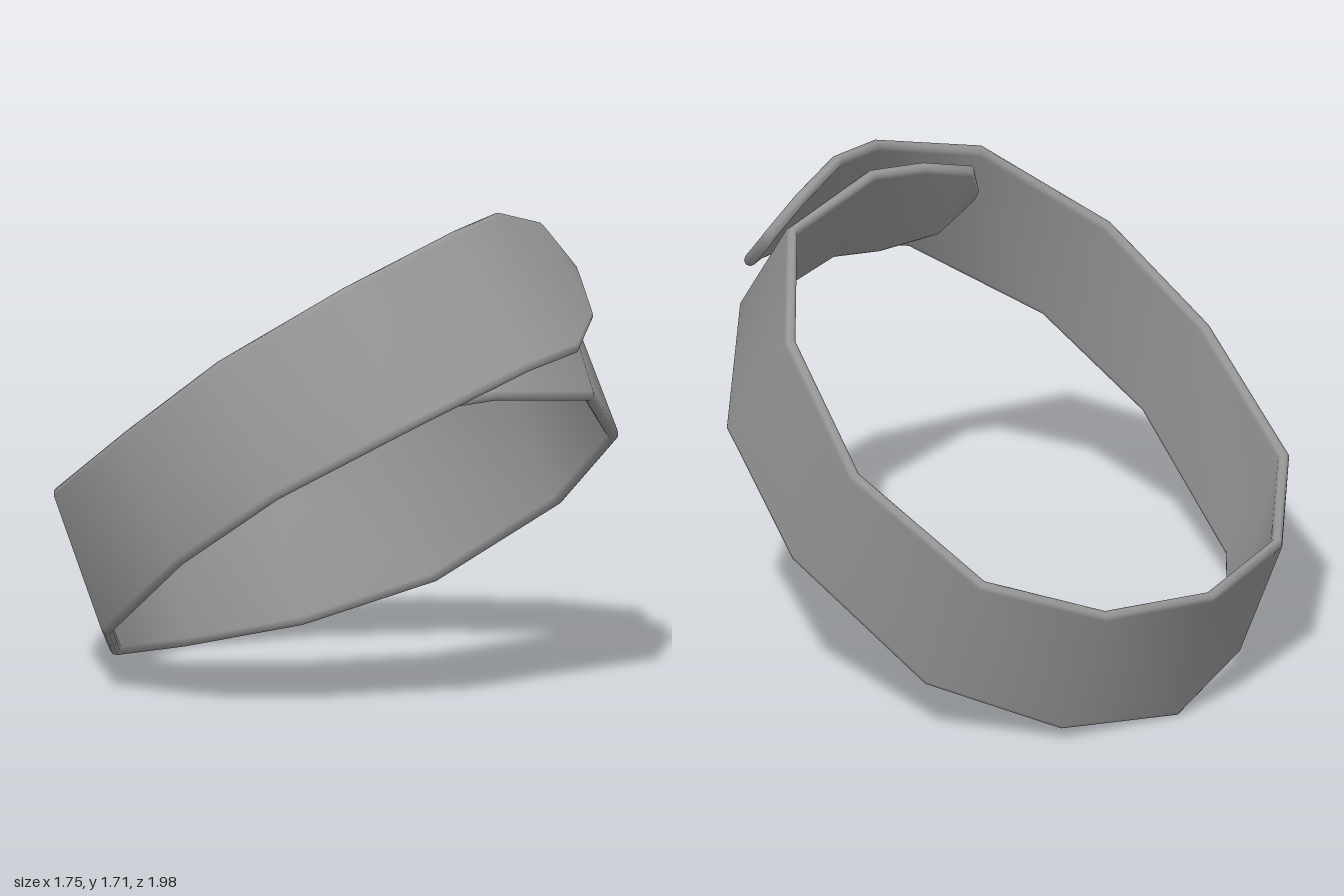
import * as THREE from 'three';

// Outer rim of the band at each station: [top x, y, z, bottom x, y, z]
const underEnd = [
  [-0.48, 1.39, 0.655, -0.48, 1.33, 0.695],
  [-0.41, 1.50, 0.60, -0.42, 1.20, 0.79],
  [-0.22, 1.56, 0.645, -0.26, 1.15, 0.91],
  [0.00, 1.59, 0.685, -0.08, 1.165, 0.97],
  [0.44, 1.53, 0.64, 0.37, 1.105, 0.95],
];
const side = [
  [0.75, 1.30, 0.34, 0.745, 0.87, 0.64],
  [0.873, 0.97, -0.10, 0.873, 0.56, 0.19],
  [0.755, 0.68, -0.61, 0.755, 0.22, -0.34],
  [0.43, 0.55, -0.90, 0.43, 0.055, -0.68],
];
const back = [0, 0.515, -0.995, 0, 0.012, -0.82];
const flap = [
  [-0.78, 1.265, 0.29, -0.77, 0.84, 0.59],
  [-0.49, 1.54, 0.63, -0.44, 1.10, 0.935],
  [-0.03, 1.695, 0.69, 0.04, 1.255, 0.997],
  [0.20, 1.725, 0.65, 0.30, 1.285, 0.955],
  [0.41, 1.66, 0.62, 0.47, 1.355, 0.83],
  [0.498, 1.52, 0.69, 0.498, 1.47, 0.725],
];

// Rounded rim: [distance from the edge, depth] going from inner to outer face
const rim = [[0.017, 0.042], [0, 0.036], [-0.008, 0.021], [0, 0.006], [0.017, 0]];

function bandGeometry(stations) {
  const top = stations.map((s) => new THREE.Vector3(s[0], s[1], s[2]));
  const bottom = stations.map((s) => new THREE.Vector3(s[3], s[4], s[5]));
  const mid = top.map((p, i) => p.clone().add(bottom[i]).multiplyScalar(0.5));
  const last = stations.length - 1;
  const n = rim.length * 2;
  const pos = [];
  const index = [];

  // Sweep the rounded strip section along the stations
  for (let i = 0; i <= last; i++) {
    const along = mid[Math.min(i + 1, last)].clone().sub(mid[Math.max(i - 1, 0)]);
    const up = top[i].clone().sub(bottom[i]);
    const width = up.length();
    up.normalize();
    const inward = up.clone().cross(along).normalize();
    const add = (s, d) => {
      const p = bottom[i].clone().addScaledVector(up, s).addScaledVector(inward, d);
      pos.push(p.x, p.y, p.z);
    };
    rim.forEach(([s, d]) => add(s, d));
    [...rim].reverse().forEach(([s, d]) => add(width - s, d));
  }
  for (let i = 0; i < last; i++) {
    for (let k = 0; k < n; k++) {
      const a = i * n + k;
      const b = i * n + ((k + 1) % n);
      index.push(a, a + n, b, a + n, b + n, b);
    }
  }

  // Close both tips, sharing vertices so they shade as softly as the rim
  const end = last * n;
  for (let k = 1; k < n - 1; k++) {
    index.push(0, k, k + 1, end, end + k + 1, end + k);
  }

  const geometry = new THREE.BufferGeometry();
  geometry.setAttribute('position', new THREE.Float32BufferAttribute(pos, 3));
  geometry.setIndex(index);
  geometry.computeVertexNormals();
  return geometry;
}

export function createModel() {
  const group = new THREE.Group();
  group.name = 'wrapBand';

  // One strip: tucked end, right round the back, then the overlapping flap
  const mirrored = side.slice(1).map(([a, b, c, d, e, f]) => [-a, b, c, -d, e, f]).reverse();
  const band = new THREE.Mesh(
    bandGeometry([...underEnd, ...side, back, ...mirrored, ...flap]),
    new THREE.MeshStandardMaterial({ color: 0x969696 })
  );
  band.name = 'band';
  group.add(band);
  return group;
}
